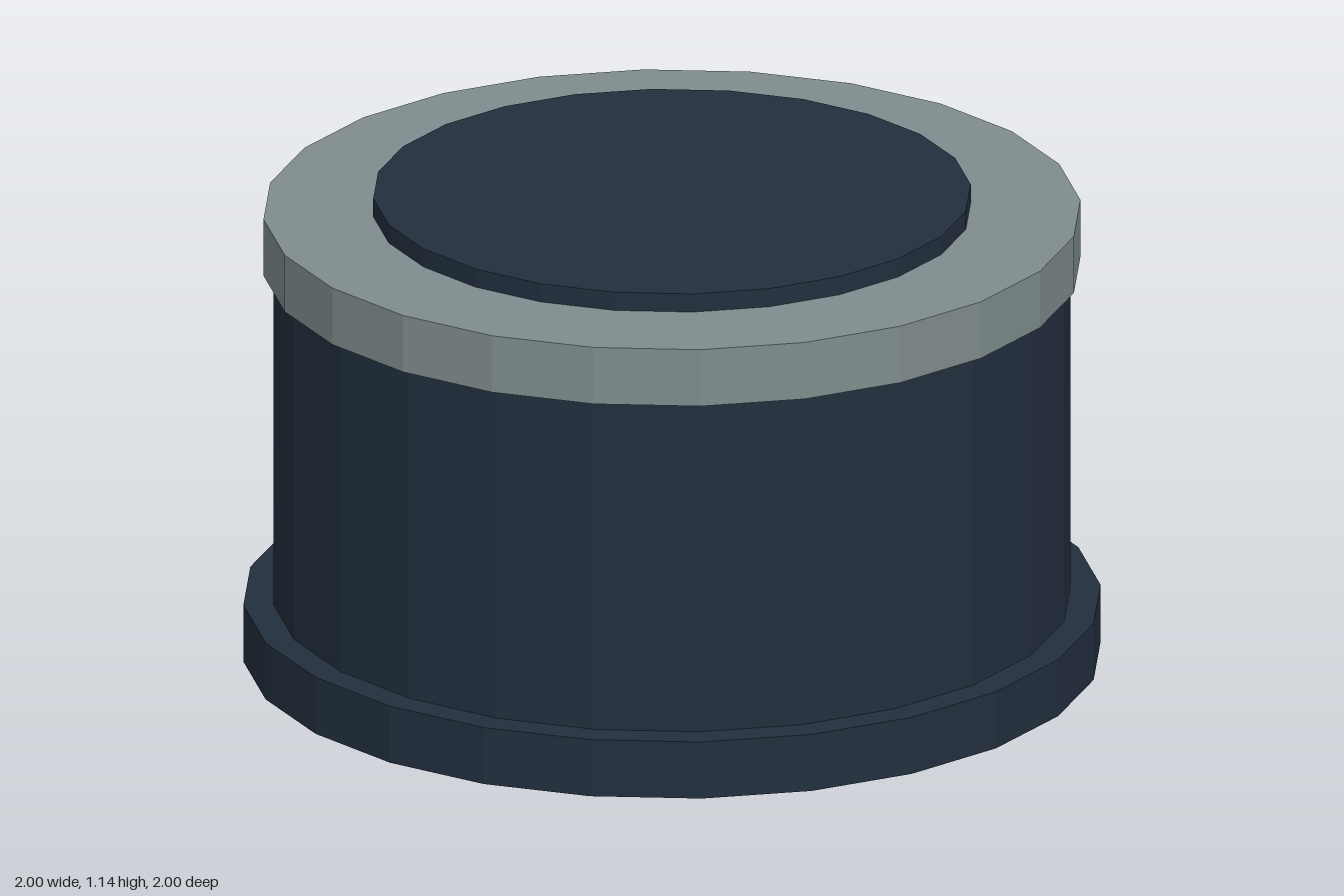
import * as THREE from 'three';

const SIDES = 24;

export function createModel() {
  const group = new THREE.Group();
  group.name = 'roundPedestal';

  const navy = new THREE.MeshStandardMaterial({ color: 0x222f3e, flatShading: true });
  navy.name = 'dark navy';
  const grey = new THREE.MeshStandardMaterial({ color: 0x7f8c8d, flatShading: true });
  grey.name = 'steel grey';

  // Upright faceted disc between two heights
  const addDisc = (name, radius, bottom, top, material) => {
    const mesh = new THREE.Mesh(
      new THREE.CylinderGeometry(radius, radius, top - bottom, SIDES), material);
    mesh.name = name;
    mesh.position.y = (bottom + top) / 2;
    group.add(mesh);
  };

  addDisc('baseFlange', 1, 0, 0.14, navy);
  addDisc('body', 0.93, 0.14, 0.955, navy);
  addDisc('rim', 0.953, 0.955, 1.095, grey);
  addDisc('topPlate', 0.697, 1.095, 1.14, navy);

  return group;
}
